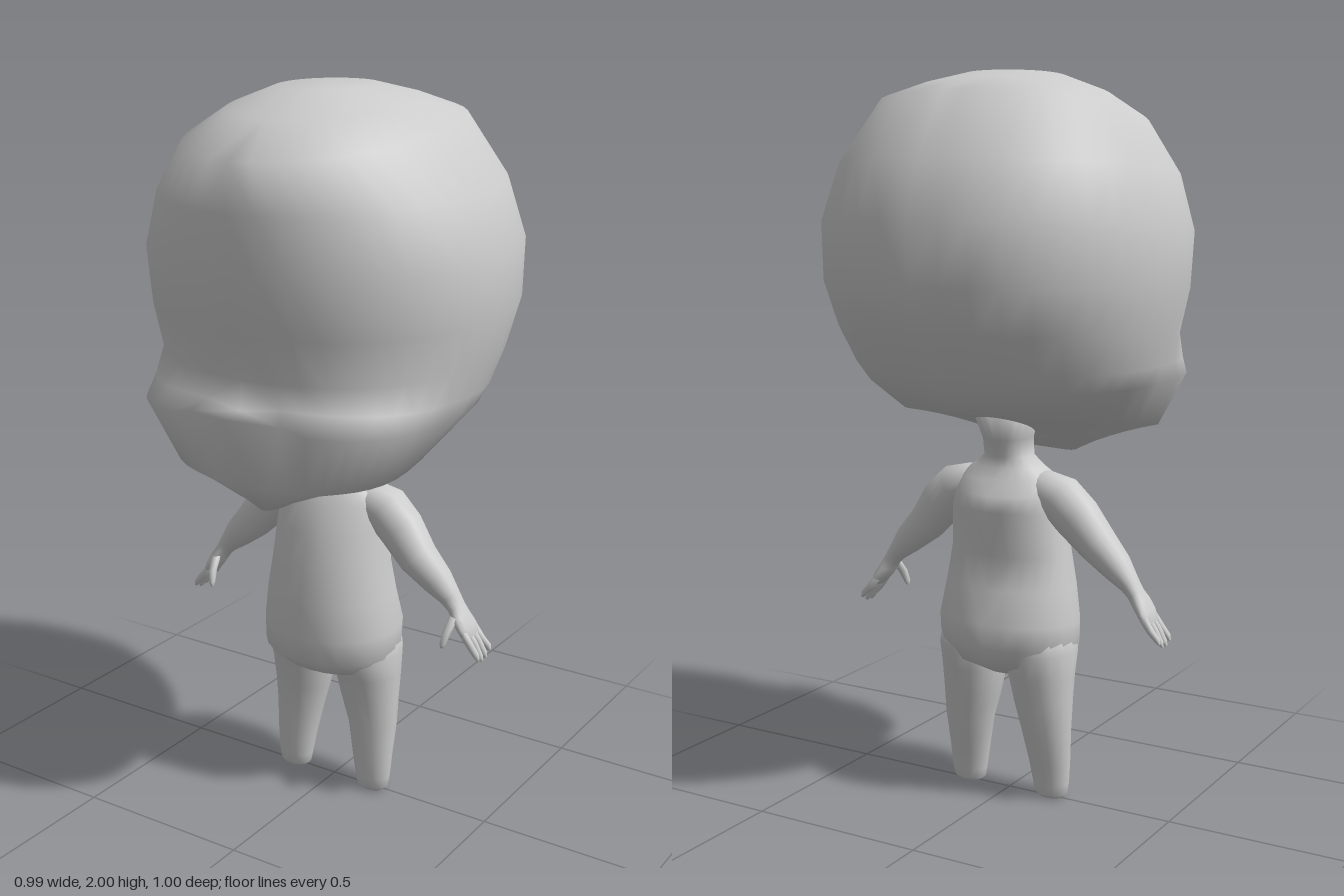
import * as THREE from 'three';

const skin = new THREE.MeshStandardMaterial({ color: 0xcccccc });
skin.name = 'plain grey';

// Skins closed rings of points (listed from top to bottom) and closes both ends.
function loft(name, rings) {
  const n = rings[0].length, pos = [], index = [];
  rings.forEach(r => r.forEach(p => pos.push(p.x, p.y, p.z)));
  const centre = r => {
    const c = r.reduce((s, p) => s.add(p), new THREE.Vector3()).divideScalar(n);
    pos.push(c.x, c.y, c.z);
    return pos.length / 3 - 1;
  };
  const last = rings.length - 1;
  const top = centre(rings[0]), bottom = centre(rings[last]);
  for (let j = 0; j < n; j++) {
    const k = (j + 1) % n;
    for (let i = 0; i < last; i++) {
      const a = i * n + j, b = i * n + k;
      // diagonals are mirrored between the two halves
      if (j < n / 2) index.push(a, a + n, b + n, a, b + n, b);
      else index.push(a, a + n, b, b, a + n, b + n);
    }
    index.push(top, j, k, bottom, last * n + k, last * n + j);
  }
  const g = new THREE.BufferGeometry();
  g.setAttribute('position', new THREE.Float32BufferAttribute(pos, 3));
  g.setIndex(index);
  g.computeVertexNormals();
  const mesh = new THREE.Mesh(g, skin);
  mesh.name = name;
  return mesh;
}

const bend = (v, e) => Math.sign(v) * Math.pow(Math.abs(v), e);

// Tilted oval: front and back heights and depths, half width, depth of the
// widest point, and squareness of the front half (1 is round).
function oval([yf, zf, yb, zb, w, zc = 0, front = 0.95], n) {
  return Array.from({ length: n }, (_, j) => {
    const a = (j / n) * Math.PI * 2, e = Math.cos(a) > 0 ? front : 0.95;
    const c = bend(Math.cos(a), e);
    const z = zc + c * (c > 0 ? zf - zc : zc - zb);
    const t = (z - zb) / (zf - zb);
    return new THREE.Vector3(w * bend(Math.sin(a), e), yb + (yf - yb) * t, z);
  });
}

// Round limb along a path of [x, y, z, radius across, radius in depth].
function limb(name, path, side, n = 12) {
  const rings = path.map(([x, y, z, rs, rz], i) => {
    const p = path[Math.max(i - 1, 0)], q = path[Math.min(i + 1, path.length - 1)];
    const d = new THREE.Vector2((q[0] - p[0]) * side, q[1] - p[1]).normalize();
    return Array.from({ length: n }, (_, j) => {
      const a = (j / n) * Math.PI * 2, s = Math.sin(a) * rs;
      return new THREE.Vector3(x * side - d.y * s, y + d.x * s, z + Math.cos(a) * rz);
    });
  });
  return loft(name, rings);
}

function makeHead() {
  const rings = [
    [1.99, 0.18, 2.0, -0.1, 0.13, 0.03],
    [1.93, 0.31, 1.975, -0.21, 0.25, 0.02],
    [1.845, 0.46, 1.94, -0.33, 0.345],
    [1.72, 0.472, 1.77, -0.45, 0.448],
    [1.57, 0.48, 1.62, -0.5, 0.495],
    [1.42, 0.455, 1.46, -0.5, 0.49],
    [1.3, 0.42, 1.34, -0.45, 0.46, 0, 0.9],
    [1.24, 0.428, 1.23, -0.38, 0.438, 0.03, 0.72],
    [1.19, 0.46, 1.18, -0.34, 0.42, 0.06, 0.6],
    [1.02, 0.42, 1.12, -0.28, 0.34, 0.18, 0.85],
    [0.93, 0.34, 1.09, -0.12, 0.11, 0.1, 1.1],
    [0.99, 0.07, 1.07, -0.06, 0.05, 0, 1],
  ].map(r => oval(r, 40));
  // Small pointed lip shelf in the middle of the face
  rings[7][0].set(0, 1.222, 0.428);
  rings[8][0].set(0, 1.216, 0.5);
  for (const j of [1, 39]) rings[8][j].y = 1.208;
  return loft('head', rings);
}

function makeTorso() {
  return loft('torso', [
    // neck
    [1.1, 0.06, 1.11, -0.12, 0.1],
    [1.02, 0.06, 1.02, -0.085, 0.068],
    [0.97, 0.062, 0.97, -0.065, 0.07],
    // shoulders, chest and belly
    [0.942, 0.07, 0.942, -0.072, 0.105],
    [0.915, 0.09, 0.91, -0.09, 0.145],
    [0.88, 0.112, 0.87, -0.12, 0.155],
    [0.8, 0.143, 0.83, -0.135, 0.163],
    [0.7, 0.16, 0.7, -0.105, 0.175],
    [0.6, 0.175, 0.61, -0.125, 0.19],
    [0.5, 0.176, 0.52, -0.163, 0.203],
    [0.43, 0.174, 0.45, -0.155, 0.202],
    [0.385, 0.125, 0.395, -0.125, 0.165],
    [0.345, 0.04, 0.355, -0.055, 0.06],
  ].map(r => oval(r, 24)));
}

function makeLeg(side) {
  return limb('leg', [
    [0.105, 0.5, -0.005, 0.09, 0.11],
    [0.108, 0.43, -0.005, 0.098, 0.115],
    [0.109, 0.36, -0.01, 0.095, 0.092],
    [0.116, 0.28, -0.01, 0.085, 0.074],
    [0.125, 0.2, -0.01, 0.073, 0.06],
    [0.131, 0.1, 0, 0.061, 0.045],
    [0.134, 0.04, 0.003, 0.054, 0.038],
    [0.134, 0.012, 0.004, 0.049, 0.035],
    [0.134, 0, 0.004, 0.036, 0.026],
  ], side, 16);
}

function makeArm(side) {
  const arm = new THREE.Group();
  arm.name = side > 0 ? 'leftArm' : 'rightArm';
  // Shoulder, forearm, wrist and palm in one skin
  arm.add(limb('armAndPalm', [
    [0.05, 0.89, -0.005, 0.03, 0.04],
    [0.11, 0.884, -0.006, 0.053, 0.058],
    [0.165, 0.862, -0.008, 0.067, 0.065],
    [0.215, 0.815, -0.005, 0.066, 0.062],
    [0.275, 0.745, 0.003, 0.055, 0.056],
    [0.335, 0.69, 0, 0.043, 0.045],
    [0.375, 0.648, -0.003, 0.028, 0.032],
    [0.393, 0.625, -0.003, 0.023, 0.03],
    [0.408, 0.602, 0, 0.022, 0.039],
    [0.426, 0.576, -0.003, 0.019, 0.044],
    [0.442, 0.55, -0.005, 0.012, 0.04],
  ], side, 16));
  // Four fingers, the middle ones longest
  [[0.026, 0.5], [0.006, 0.49], [-0.015, 0.492], [-0.035, 0.505]].forEach(([z, tip]) => {
    arm.add(limb('finger', [
      [0.43, 0.568, z, 0.012, 0.011],
      [0.455, 0.535, z * 1.05, 0.011, 0.01],
      [0.474, tip + 0.012, z * 1.1, 0.009, 0.009],
      [0.48, tip, z * 1.1, 0.004, 0.004],
    ], side, 8));
  });
  arm.add(limb('thumb', [
    [0.402, 0.61, 0.025, 0.014, 0.014],
    [0.396, 0.575, 0.052, 0.012, 0.014],
    [0.39, 0.542, 0.065, 0.009, 0.01],
    [0.388, 0.53, 0.067, 0.004, 0.005],
  ], side, 8));
  return arm;
}

export function createModel() {
  const model = new THREE.Group();
  model.name = 'bigHeadedFigure';
  model.add(makeHead(), makeTorso());
  for (const side of [1, -1]) {
    const leg = makeLeg(side);
    leg.name = side > 0 ? 'leftLeg' : 'rightLeg';
    model.add(leg, makeArm(side));
  }
  return model;
}
